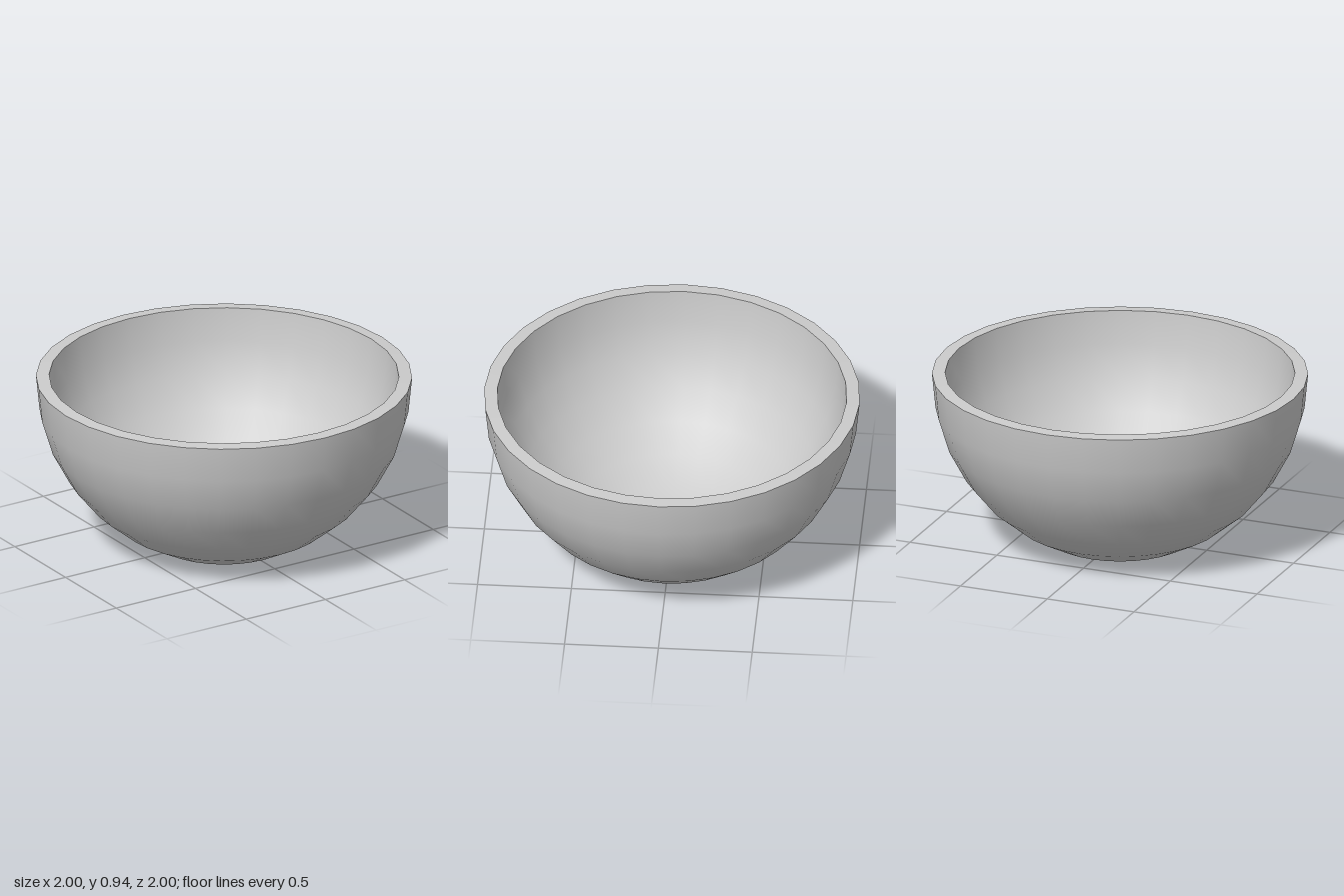
import * as THREE from 'three';

const SIDES = 32;
const STEP = Math.PI / 16; // one ring every 11.25 degrees

// Points on a circular arc, from ring a to ring b counted from the lower pole
function arc(radius, centreY, a, b) {
  const points = [];
  const dir = Math.sign(b - a);
  for (let i = a; i !== b + dir; i += dir) {
    points.push(new THREE.Vector2(
      radius * Math.sin(i * STEP),
      centreY - radius * Math.cos(i * STEP)
    ));
  }
  return points;
}

export function createModel() {
  const bowl = new THREE.Group();
  bowl.name = 'bowl';
  const material = new THREE.MeshStandardMaterial({ color: 0xcccccc });

  const outer = arc(1, 0.935, 2, 8);
  const inner = arc(0.93, 0.94, 8, 0);

  // Separate lathes keep the rim and base edges sharp
  const parts = {
    base: [new THREE.Vector2(0, 0.003), outer[0]],
    outerWall: outer,
    rim: [outer[outer.length - 1], inner[0]],
    innerWall: inner,
  };

  for (const [name, profile] of Object.entries(parts)) {
    const mesh = new THREE.Mesh(new THREE.LatheGeometry(profile, SIDES), material);
    mesh.name = name;
    bowl.add(mesh);
  }
  return bowl;
}
